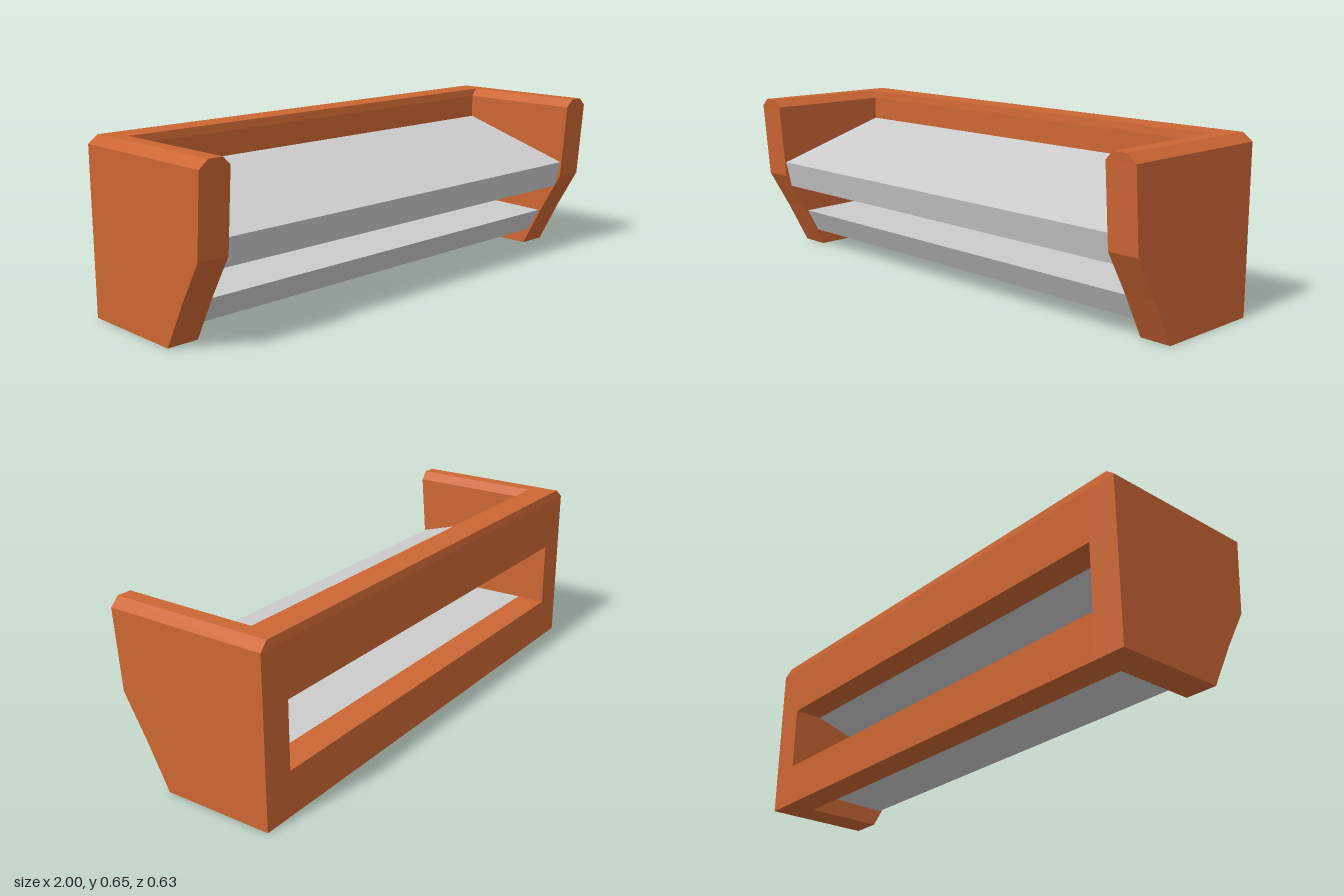
import * as THREE from 'three';

const orange = new THREE.MeshStandardMaterial({ color: 0xcc6633, flatShading: true });
const grey = new THREE.MeshStandardMaterial({ color: 0xcccccc, flatShading: true });

const INNER = 0.88, BACK = -0.315, WALL = -0.2, RIM = 0.62, TOP = 0.65;

const shapeOf = (points) => new THREE.Shape(points.map(([a, b]) => new THREE.Vector2(a, b)));

// Prism with a (z, y) profile, running from x0 to x1
function prism(name, profile, x0, x1, material) {
  const geometry = new THREE.ExtrudeGeometry(shapeOf(profile), { depth: x1 - x0, bevelEnabled: false });
  geometry.rotateY(-Math.PI / 2).translate(x1, 0, 0);
  const mesh = new THREE.Mesh(geometry, material);
  mesh.name = name;
  return mesh;
}

// Chamfered U-shaped rim running along both sides and the back
function makeRim() {
  const front = 0.313;
  const outline = [
    [-1, front], [-1, BACK], [1, BACK], [1, front],
    [INNER, front], [INNER, WALL], [-INNER, WALL], [-INNER, front],
  ].map(([x, z]) => [x, -z]);
  const geometry = new THREE.ExtrudeGeometry(shapeOf(outline), { depth: TOP - RIM, bevelEnabled: false });
  geometry.rotateX(-Math.PI / 2).translate(0, RIM, 0);

  // Draw the upper outline in to form the chamfers
  const p = geometry.attributes.position;
  for (let i = 0; i < p.count; i++) {
    if (p.getY(i) < RIM + 0.01) continue;
    const x = p.getX(i), z = p.getZ(i);
    p.setX(i, Math.sign(x) * (Math.abs(x) > 0.95 ? 0.965 : 0.91));
    p.setZ(i, z > 0 ? 0.316 : z < -0.3 ? BACK + 0.005 : WALL - 0.004);
  }
  geometry.computeVertexNormals();
  const mesh = new THREE.Mesh(geometry, orange);
  mesh.name = 'chamferedRim';
  return mesh;
}

export function createModel() {
  const group = new THREE.Group();
  group.name = 'wallShelf';

  // Side panels with a front edge that cuts back towards the foot
  const side = [[BACK, 0], [0.11, 0], [0.2, 0.17], [0.29, 0.325], [0.313, RIM], [BACK, RIM]];
  group.add(prism('leftSidePanel', side, INNER, 1, orange));
  group.add(prism('rightSidePanel', side, -1, -INNER, orange));
  group.add(makeRim());

  // Back rails, leaving a long window between them
  for (const [name, y0, y1] of [['lowerBackRail', 0, 0.167], ['upperBackRail', 0.42, RIM]]) {
    const rail = [[BACK, y0], [WALL, y0], [WALL, y1], [BACK, y1]];
    group.add(prism(name, rail, -INNER, INNER, orange));
  }

  // Sloping upper shelf
  const upper = [[WALL, 0.42], [0.265, 0.28], [0.289, 0.385], [WALL, 0.53]];
  group.add(prism('upperShelf', upper, -INNER, INNER, grey));

  // Lower shelf with an undercut front edge
  const lower = [[WALL, 0.075], [0.135, 0.067], [0.185, 0.16], [WALL, 0.167]];
  group.add(prism('lowerShelf', lower, -INNER, INNER, grey));

  return group;
}
